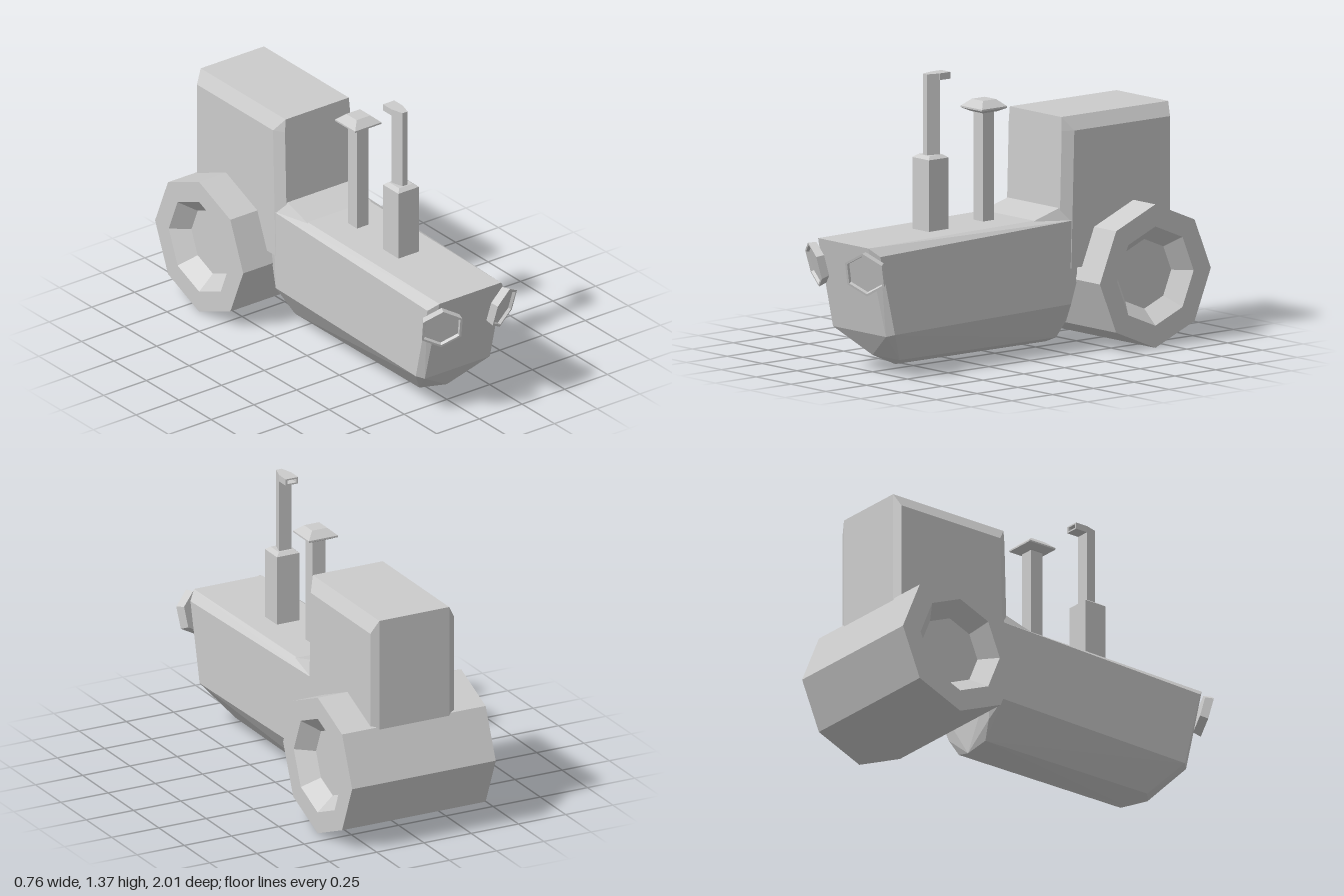
import * as THREE from 'three';
import { ConvexGeometry } from 'three/addons/geometries/ConvexGeometry.js';

const material = new THREE.MeshStandardMaterial({ color: 0xcccccc, flatShading: true });

export function createModel() {
  const model = new THREE.Group();

  const add = (name, geometry, x = 0, y = 0, z = 0) => {
    const mesh = new THREE.Mesh(geometry, material);
    mesh.name = name;
    mesh.position.set(x, y, z);
    model.add(mesh);
    return mesh;
  };

  // Faceted solid from the corners of its left half, mirrored in x
  const mirroredHull = (half) => {
    const points = [];
    for (const [x, y, z] of half) {
      points.push(new THREE.Vector3(x, y, z));
      if (x > 0) points.push(new THREE.Vector3(-x, y, z));
    }
    return new ConvexGeometry(points);
  };

  const lathe = (profile, sides, phase = 0) =>
    new THREE.LatheGeometry(profile.map(([r, y]) => new THREE.Vector2(r, y)), sides, phase);

  // Bonnet with a boat-like belly and a sloping nose
  add('bonnet', mirroredHull([
    [0.18, 0.63, 0.93], [0.22, 0.59, 0.89], [0.19, 0.2, 0.83], [0.22, 0.21, 0.8],
    [0, 0.08, 0.75], [0.1, 0.06, 0.67], [0, 0.02, 0.61],
    [0.18, 0.645, -0.3], [0.22, 0.625, -0.3], [0.22, 0.23, -0.28], [0.2, 0.34, -0.335],
    [0.15, 0.14, -0.31], [0.1, 0.055, -0.29], [0, 0.02, -0.315],
  ]));

  // Ramp between bonnet and cab
  add('cowl', mirroredHull([
    [0.185, 0.635, -0.06], [0.185, 0.685, -0.235], [0.22, 0.62, -0.28],
    [0.185, 0.685, -0.3], [0.18, 0.6, -0.06], [0.22, 0.6, -0.3],
  ]));

  // Cab with bevelled corners and roof edges
  const cab = [[0.185, 1.115, -0.25], [0.185, 1.115, -0.905]];
  for (const [y, front] of [[1.05, -0.248], [0.4, -0.23]]) {
    cab.push([0.19, y, front], [0.222, y, front - 0.05], [0.222, y, -0.885], [0.185, y, -0.905]);
  }
  add('cab', mirroredHull(cab));

  // Wide rear roller with a dished hub on each end
  const roller = lathe([
    [0, -0.3], [0.165, -0.3], [0.235, -0.38], [0.34, -0.38],
    [0.34, 0.38], [0.235, 0.38], [0.165, 0.3], [0, 0.3],
  ], 8);
  roller.rotateZ(Math.PI / 2);
  add('rearRoller', roller, 0, 0.34, -0.66);

  // Headlamps, turned outwards and slightly down
  const lamp = lathe([
    [0, -0.02], [0.1, -0.02], [0.109, 0.02], [0.097, 0.02], [0.092, 0.006], [0, 0.006],
  ], 6);
  lamp.rotateX(Math.PI / 2);
  for (const side of [1, -1]) {
    const mesh = add(side > 0 ? 'leftHeadlamp' : 'rightHeadlamp', lamp, side * 0.175, 0.512, 0.938);
    mesh.rotation.set(0.25, side * 0.43, 0, 'YXZ');
  }

  // Square profiles: half widths become corner radii
  const square = (profile) =>
    lathe(profile.map(([w, y]) => [w * Math.SQRT2, y]), 4, Math.PI / 4);

  // Exhaust: square silencer, tapered pipe and hollow outlet facing back
  add('exhaustSilencer', square([[0, 0.6], [0.06, 0.6], [0.06, 0.975], [0.04, 0.99], [0, 0.99]]), 0, 0, 0.395);
  add('exhaustPipe', mirroredHull([
    [0.015, 0.95, 0.428], [0.033, 0.95, 0.365], [0.015, 1.373, 0.428], [0.033, 1.373, 0.365],
  ]));
  const rect = (Type, w, h) => new Type(
    [[-w, -h], [w, -h], [w, h], [-w, h]].map(([x, y]) => new THREE.Vector2(x, y)));
  const outlet = rect(THREE.Shape, 0.033, 0.016);
  outlet.holes.push(rect(THREE.Path, 0.024, 0.009));
  add('exhaustOutlet', new THREE.ExtrudeGeometry(outlet, { depth: 0.066, bevelEnabled: false }), 0, 1.357, 0.3);

  // Air intake with a mushroom cap
  add('intakePipe', new THREE.BoxGeometry(0.068, 0.57, 0.068), 0, 0.885, 0.067);
  add('intakeCap', square([
    [0, 1.155], [0.043, 1.155], [0.077, 1.172], [0.077, 1.18], [0.04, 1.213], [0, 1.213],
  ]), 0, 0, 0.067);

  return model;
}
